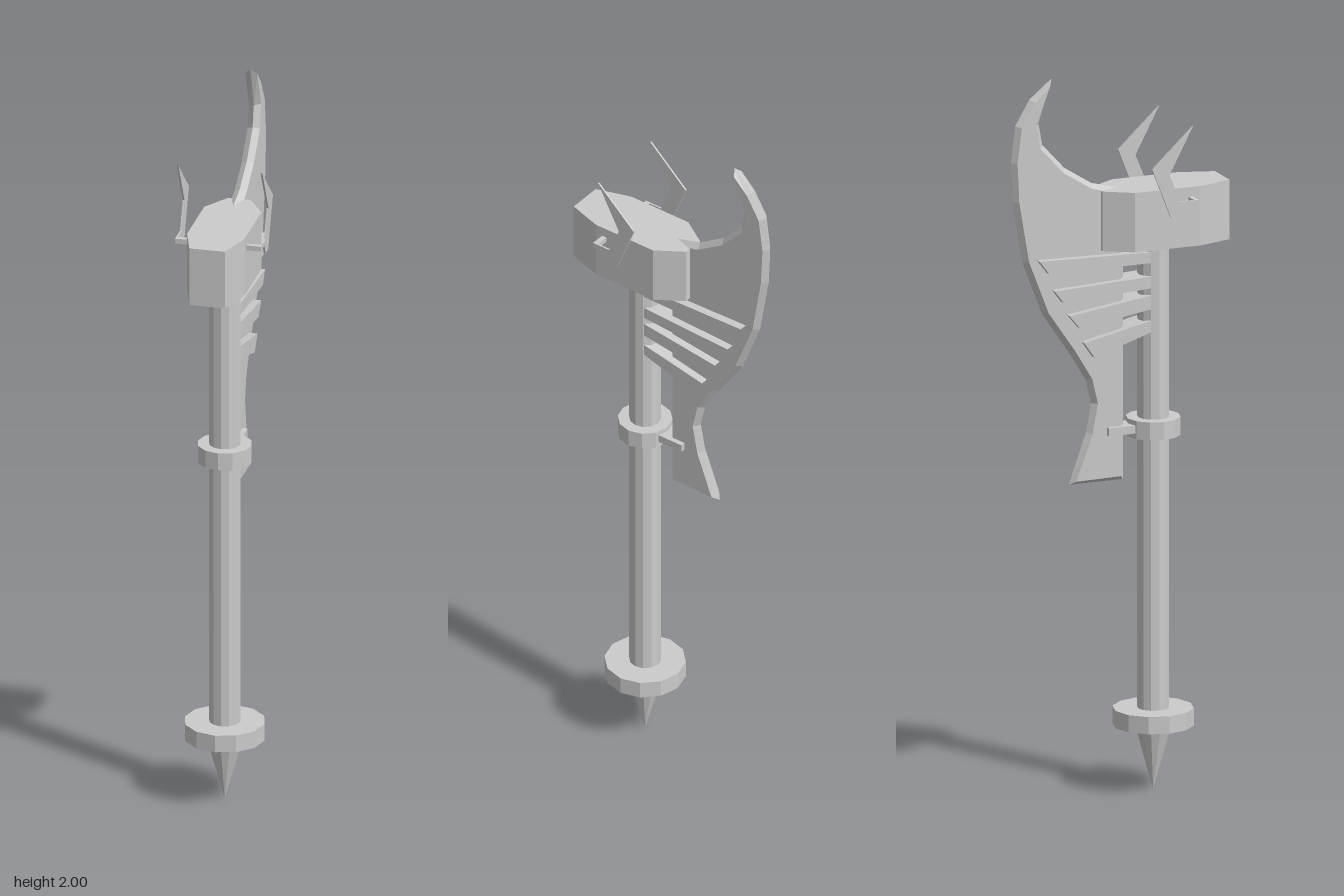
import * as THREE from 'three';

export function createModel() {
  const group = new THREE.Group();
  group.name = 'battleAxe';
  const mat = new THREE.MeshStandardMaterial({ color: 0xcccccc, flatShading: true });
  const CX = -0.003, CZ = 0.108; // shaft axis

  const add = (name, geo, x = 0, y = 0, z = 0) => {
    const m = new THREE.Mesh(geo, mat);
    m.name = name;
    m.position.set(x, y, z);
    group.add(m);
    return m;
  };
  // round part on the shaft axis, between two heights
  const round = (name, rTop, rBottom, y0, y1) =>
    add(name, new THREE.CylinderGeometry(rTop, rBottom, y1 - y0, 12), CX, (y0 + y1) / 2, CZ);
  // side profile given as [z, y], extruded across x and centred on x = 0
  const profile = (pts, width, bevel) => {
    const shape = new THREE.Shape(pts.map(([z, y]) => new THREE.Vector2(-z, y)));
    const geo = new THREE.ExtrudeGeometry(shape, { depth: width, bevelEnabled: false, ...bevel });
    return geo.translate(0, 0, -width / 2).rotateY(Math.PI / 2);
  };

  // shaft with spike, pommel disc and collar
  round('spike', 0.053, 0, 0, 0.19);
  round('pommelDisc', 0.11, 0.11, 0.18, 0.228);
  round('shaft', 0.043, 0.043, 0.19, 1.53);
  round('collar', 0.074, 0.074, 0.985, 1.035);

  // eight-sided head block, outline in x and z
  const outline = [[-0.049, 0.31], [0.049, 0.31], [0.079, 0.213], [0.079, 0.022],
    [0.031, -0.053], [-0.031, -0.053], [-0.079, 0.022], [-0.079, 0.213]];
  const headShape = new THREE.Shape(outline.map(([x, z]) => new THREE.Vector2(x, -z)));
  const head = new THREE.ExtrudeGeometry(headShape, { depth: 0.165, bevelEnabled: false });
  add('headBlock', head.rotateX(-Math.PI / 2), -0.002, 1.515, 0);

  // curved blade, sharpened to a central ridge all round
  const blade = [[-0.19, 2.0], [-0.254, 1.95], [-0.296, 1.88], [-0.309, 1.78], [-0.304, 1.67],
    [-0.275, 1.5], [-0.217, 1.35], [-0.138, 1.235], [-0.09, 1.155], [-0.075, 1.09], [-0.09, 1.01],
    [-0.14, 0.87], [0.018, 0.87], [0.018, 1.675], [-0.074, 1.7], [-0.153, 1.75],
    [-0.217, 1.82], [-0.228, 1.88]];
  add('blade', profile(blade, 0.001, {
    bevelEnabled: true, bevelThickness: 0.0165, bevelSize: 0.013, bevelOffset: -0.013, bevelSegments: 1,
  }), -0.006);

  // four ribs fanning from the shaft over the blade: [yTop, yBottom, tip, lower tip]
  const ribs = [
    [1.5, 1.47, [-0.24, 1.507], [-0.212, 1.47]],
    [1.433, 1.4, [-0.196, 1.42], [-0.17, 1.385]],
    [1.38, 1.342, [-0.153, 1.347], [-0.122, 1.31]],
    [1.31, 1.278, [-0.11, 1.268], [-0.08, 1.225]],
  ];
  ribs.forEach(([top, bottom, tip, lower], i) =>
    add('bladeRib' + (i + 1), profile([[0.085, top], [0.085, bottom], lower, tip], 0.077), -0.005));

  // clamp tying the collar to the blade
  add('bladeClamp', new THREE.BoxGeometry(0.06, 0.022, 0.085), -0.005, 1.011, 0.008);

  // thin bent horns on pegs, one each side of the head
  const horn = [[0.175, 1.86], [0.056, 1.75], [0.11, 1.612], [0.138, 1.612], [0.153, 1.64],
    [0.193, 1.64], [0.193, 1.653], [0.138, 1.653], [0.106, 1.73]];
  for (const [side, s] of [['left', 1], ['right', -1]]) {
    add(side + 'Horn', profile(horn, 0.005), s * 0.116 - 0.001);
    add(side + 'HornPeg', new THREE.BoxGeometry(0.055, 0.014, 0.014), s * 0.091 - 0.001, 1.646, 0.185);
  }
  return group;
}
